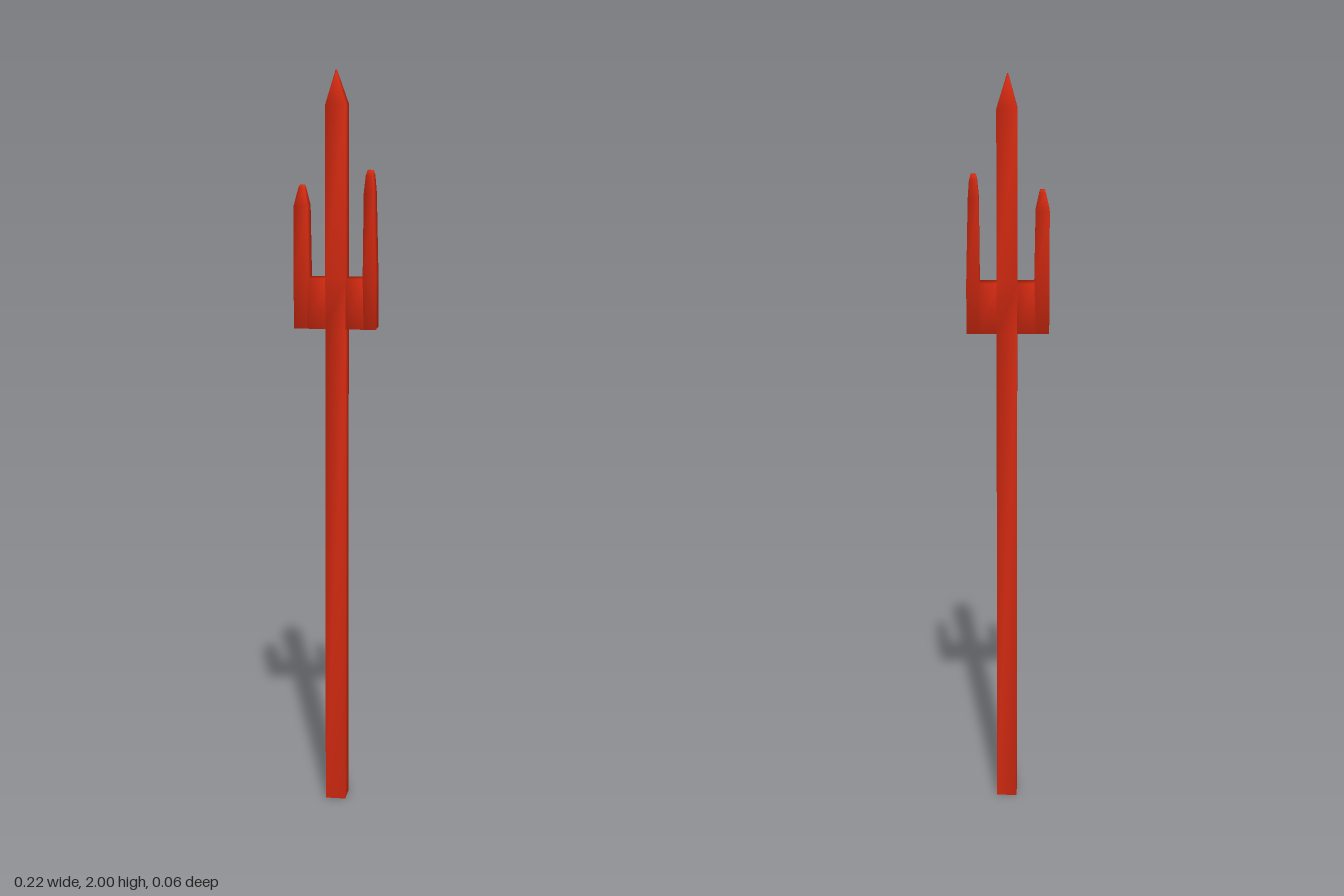
import * as THREE from 'three';

const material = new THREE.MeshStandardMaterial({ color: 0xdc2c12 });

// Smooth-shaded square bar lofted upward through rings [y, x0, x1, half depth]
function bar(name, rings) {
  const pos = [], idx = [];
  for (const [y, x0, x1, d] of rings) pos.push(x0, y, d, x1, y, d, x1, y, -d, x0, y, -d);
  for (let r = 0; r < rings.length - 1; r++) {
    for (let i = 0; i < 4; i++) {
      const a = r * 4 + i, b = r * 4 + (i + 1) % 4;
      idx.push(a, b, b + 4, a, b + 4, a + 4);
    }
  }
  const t = (rings.length - 1) * 4;
  idx.push(0, 2, 1, 0, 3, 2, t, t + 1, t + 2, t, t + 2, t + 3);
  const geo = new THREE.BufferGeometry();
  geo.setAttribute('position', new THREE.Float32BufferAttribute(pos, 3));
  geo.setIndex(idx);
  geo.computeVertexNormals();
  const mesh = new THREE.Mesh(geo, material);
  mesh.name = name;
  return mesh;
}

export function createModel() {
  const group = new THREE.Group();
  group.name = 'trident';
  const D = 0.03, low = 1.32, high = 1.455;

  // Long shaft running up into the pointed centre spike
  group.add(bar('shaftAndCentreSpike', [
    [0, -0.025, 0.03, D], [low, -0.025, 0.03, D], [high, -0.025, 0.03, D],
    [1.91, -0.025, 0.03, D], [2, -0.001, 0.002, 0.001],
  ]));

  // Crossbar halves joining the prongs to the shaft
  group.add(bar('rightCrossbar', [[low, -0.075, -0.025, D], [high, -0.07, -0.025, D]]));
  group.add(bar('leftCrossbar', [[low, 0.03, 0.078, D], [high, 0.03, 0.075, D]]));

  // Shorter, thicker prong
  group.add(bar('rightProng', [
    [low, -0.11, -0.07, D], [high, -0.11, -0.07, D], [1.645, -0.11, -0.073, 0.028],
    [1.69, -0.1, -0.082, 0.014], [1.7, -0.097, -0.085, 0.01],
  ]));

  // Taller, thinner prong
  group.add(bar('leftProng', [
    [low, 0.075, 0.11, D], [high, 0.075, 0.11, D], [1.68, 0.077, 0.105, 0.027],
    [1.725, 0.081, 0.102, 0.02], [1.74, 0.085, 0.098, 0.014],
  ]));
  return group;
}
